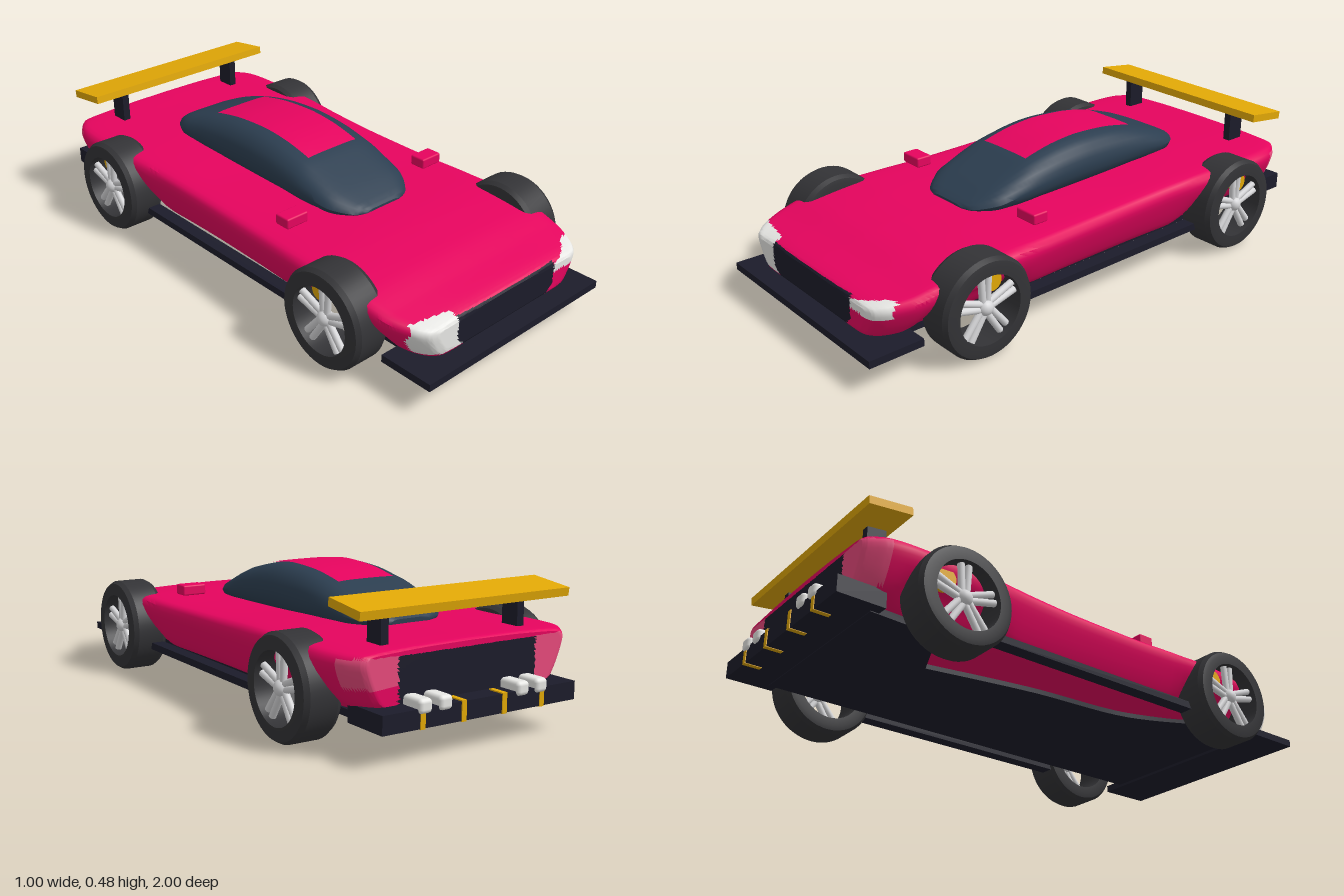
import * as THREE from 'three';
import { toCreasedNormals } from 'three/addons/utils/BufferGeometryUtils.js';
import { RoundedBoxGeometry } from 'three/addons/geometries/RoundedBoxGeometry.js';

const mat = (name, color) => {
  const m = new THREE.MeshStandardMaterial({ color });
  m.name = name;
  return m;
};

// Smoothly resample a table of stations [z, halfWidth, top, bottom]
function resample(table, steps) {
  const curve = (f) => new THREE.CatmullRomCurve3(table.map(f), false, 'catmullrom', 0.4);
  const dims = curve((s) => new THREE.Vector3(s[1], s[2], s[3]));
  const zs = curve((s) => new THREE.Vector3(s[0], 0, 0));
  const n = (table.length - 1) * steps;
  return Array.from({ length: n + 1 }, (_, i) => {
    const d = dims.getPoint(i / n);
    return [zs.getPoint(i / n).x, d.x, d.y, d.z];
  });
}

// Skin mirrored cross-sections, closing both ends; pick(x, y, z) gives the material slot
function loft(stations, section, half, slots, pick, capSteps) {
  const ring = ([z, w, t, b]) => {
    const pts = section(z, w, t, b).map(([x, y]) => new THREE.Vector3(x, y, z));
    const side = new THREE.CatmullRomCurve3(pts, false, 'catmullrom', 0.35).getSpacedPoints(half);
    const other = side.slice(1, -1).reverse().map((p) => new THREE.Vector3(-p.x, p.y, p.z));
    return [...side, ...other];
  };
  const cap = (r, s) => {
    const c = new THREE.Vector3(0, (r[0].y + r[half].y) / 2, r[0].z);
    return r.map((p) => c.clone().lerp(p, s));
  };
  const body = stations.map(ring);
  const front = [], back = [];
  for (let i = 0; i < capSteps; i++) {
    front.push(cap(body[0], i / capSteps));
    back.unshift(cap(body[body.length - 1], i / capSteps));
  }
  const rings = [...front, ...body, ...back];
  const n = half * 2;
  const flat = rings.flat();
  const lists = Array.from({ length: slots }, () => []);
  for (let k = 0; k < rings.length - 1; k++) {
    for (let j = 0; j < n; j++) {
      const a = k * n + j, b = k * n + ((j + 1) % n), c = a + n, d = b + n;
      for (const tri of [[a, c, b], [b, c, d]]) {
        const m = new THREE.Vector3();
        tri.forEach((i) => m.addScaledVector(flat[i], 1 / 3));
        lists[pick(m.x, m.y, m.z)].push(...tri);
      }
    }
  }
  const g = new THREE.BufferGeometry().setFromPoints(flat);
  g.setIndex(lists.flat());
  let start = 0;
  lists.forEach((l, i) => { g.addGroup(start, l.length, i); start += l.length; });
  return toCreasedNormals(g, 0.7);
}

export function createModel() {
  const car = new THREE.Group();
  car.name = 'racingCar';
  const paint = mat('bodyPaint', 0xe6045e);
  const dark = mat('darkTrim', 0x1c1c2a);
  const glass = mat('glass', 0x2c3e50);
  const rubber = mat('tyreRubber', 0x333336);
  const gold = mat('gold', 0xe2a806);
  const white = mat('lampWhite', 0xebebe8);
  const silver = mat('rimSilver', 0xd6d6d8);
  const tail = mat('tailLightPink', 0xe84a7c);

  const add = (name, geo, material, x = 0, y = 0, z = 0, parent = car) => {
    const m = new THREE.Mesh(geo, material);
    m.name = name;
    m.position.set(x, y, z);
    parent.add(m);
    return m;
  };
  const box = (name, w, h, d, material, x, y, z, parent) =>
    add(name, new THREE.BoxGeometry(w, h, d), material, x, y, z, parent);

  // Body shell: full rounded flanks that lift around the wheels
  const bodyStations = resample([
    [0.945, 0.33, 0.24, 0.14], [0.935, 0.36, 0.25, 0.128], [0.9, 0.393, 0.26, 0.122],
    [0.82, 0.43, 0.275, 0.12], [0.7, 0.445, 0.3, 0.12], [0.5, 0.45, 0.316, 0.12],
    [0.2, 0.437, 0.316, 0.12], [-0.1, 0.432, 0.322, 0.12], [-0.3, 0.436, 0.33, 0.12],
    [-0.5, 0.45, 0.335, 0.12], [-0.75, 0.455, 0.335, 0.13], [-0.85, 0.44, 0.335, 0.145],
    [-0.905, 0.405, 0.334, 0.153], [-0.92, 0.385, 0.328, 0.16],
  ], 8);
  const bodySection = (z, w, t, b) => {
    const h = t - b;
    const lift = Math.exp(-Math.pow((Math.abs(z) - 0.6) / 0.19, 4));
    return [[0, b], [0.4 * w, b], [0.74 * w, b], [0.86 * w, b + 0.06 * h + 0.06 * lift],
      [0.93 * w, b + 0.32 * h + 0.03 * lift], [0.98 * w, b + 0.6 * h], [w, t - 0.2 * h],
      [0.965 * w, t - 0.08 * h], [0.82 * w, t - 0.008], [0.45 * w, t - 0.002], [0, t]];
  };
  const bodyColour = (x, y, z) => {
    const ax = Math.abs(x);
    if (z > 0.87) {
      // Grille narrows toward its lower corners
      const edge = 0.238 - Math.max(0, 0.165 - y);
      if (ax < edge && y < 0.246) return 1;
      const low = x < 0 ? 0.14 : 0.205;
      const high = x < 0 ? 0.254 : 0.236 + 0.16 * (ax - 0.235);
      if (ax >= edge && ax < 0.395 && y > low && y < high) return 2;
    }
    if (z < -0.9 && ax < 0.27 && y < 0.31) return 1;
    if (z < -0.84 && ax >= 0.27 && y < 0.312 && y > (x < 0 ? 0.17 : 0.22)) return 3;
    return 0;
  };
  add('bodyShell', loft(bodyStations, bodySection, 56, 4, bodyColour, 36), [paint, dark, white, tail]);

  // Glass canopy
  const canopyStations = resample([
    [0.39, 0.08, 0.325, 0.31], [0.37, 0.13, 0.338, 0.308], [0.3, 0.185, 0.372, 0.308],
    [0.2, 0.2, 0.415, 0.31], [0.13, 0.203, 0.442, 0.31], [0.02, 0.204, 0.467, 0.312],
    [-0.1, 0.205, 0.478, 0.315], [-0.25, 0.203, 0.47, 0.315], [-0.385, 0.2, 0.445, 0.32],
    [-0.52, 0.188, 0.402, 0.32], [-0.6, 0.14, 0.368, 0.325], [-0.63, 0.08, 0.35, 0.33],
  ], 4);
  const canopySection = (z, w, t, b) => {
    const h = t - b;
    return [[0, b], [0.8 * w, b], [0.95 * w, b + 0.15 * h], [w, b + 0.4 * h], [0.94 * w, b + 0.7 * h],
      [0.76 * w, b + 0.93 * h], [0.5 * w, t - 0.01 * h], [0, t]];
  };
  add('canopy', loft(canopyStations, canopySection, 20, 1, () => 0, 3), glass);

  // Painted roof panel following the canopy crown
  const crown = canopyStations.filter((s) => s[0] < 0.131 && s[0] > -0.386).reverse();
  const roof = new THREE.PlaneGeometry(0.23, 1, 8, crown.length - 1);
  const rp = roof.attributes.position;
  for (let i = 0; i < rp.count; i++) {
    const x = rp.getX(i);
    const s = crown[Math.floor(i / 9)];
    rp.setXYZ(i, x, s[2] + 0.004 - 0.003 * Math.pow(x / 0.115, 4), s[0]);
  }
  roof.computeVertexNormals();
  add('roofPanel', roof, paint);

  // Floor plate, cut back along one side so the painted underbody shows
  const plate = new THREE.Shape();
  plate.moveTo(0.34, 0.85);
  plate.lineTo(-0.34, 0.85);
  plate.lineTo(-0.34, 0.58);
  plate.splineThru([[-0.22, 0.3], [-0.18, -0.1], [-0.11, -0.5]].map(([x, z]) => new THREE.Vector2(x, z)));
  plate.lineTo(-0.33, -0.6);
  plate.lineTo(-0.34, -0.85);
  plate.lineTo(0.34, -0.85);
  const floor = new THREE.ExtrudeGeometry(plate, { depth: 0.024, bevelEnabled: false, curveSegments: 16 });
  add('floor', floor.rotateX(Math.PI / 2), dark, 0, 0.126, 0);

  // Splitter and diffuser
  box('frontSplitter', 0.84, 0.026, 0.2, dark, 0, 0.105, 0.9);
  box('rearDiffuser', 0.76, 0.06, 0.17, dark, 0, 0.135, -0.905);

  // Rear wing
  const wing = box('rearWing', 0.82, 0.028, 0.16, gold, 0, 0.45, -0.84);
  wing.rotation.x = -0.13;

  // Wheel parts
  const tyre = toCreasedNormals(new THREE.LatheGeometry([
    [0.12, -0.07], [0.15, -0.07], [0.165, -0.067], [0.175, -0.05], [0.175, 0.05],
    [0.165, 0.067], [0.15, 0.07], [0.12, 0.07], [0.12, -0.07],
  ].map(([r, y]) => new THREE.Vector2(r, y)), 48), 0.5).rotateZ(Math.PI / 2);
  const hub = new THREE.SphereGeometry(0.028, 20, 12);
  const spokeGeo = new THREE.CylinderGeometry(0.012, 0.012, 0.11, 12);
  const caliper = new THREE.CylinderGeometry(0.034, 0.034, 0.04, 20).rotateZ(Math.PI / 2);

  for (const s of [-1, 1]) {
    const side = s > 0 ? 'left' : 'right';
    box(side + 'SideSkirt', 0.05, 0.026, 0.94, dark, s * 0.4, 0.114, 0);
    box(side + 'WingStrut', 0.028, 0.12, 0.07, dark, s * 0.27, 0.383, -0.815);
    add(side + 'Mirror', new RoundedBoxGeometry(0.092, 0.038, 0.062, 2, 0.006), paint, s * 0.328, 0.35, 0.283);
    for (const x of [0.08, 0.235]) box(side + 'DiffuserFin', 0.018, 0.066, 0.062, gold, s * x, 0.136, -0.962);
    for (const x of [0.152, 0.228]) {
      add(side + 'Exhaust', new RoundedBoxGeometry(0.05, 0.046, 0.09, 3, 0.014), white, s * x, 0.172, -0.955);
    }

    for (const z of [0.6, -0.6]) {
      const wheel = new THREE.Group();
      wheel.name = side + (z > 0 ? 'Front' : 'Rear') + 'Wheel';
      wheel.position.set(s * 0.43, 0.176, z);
      car.add(wheel);
      add('tyre', tyre, rubber, 0, 0, 0, wheel);
      add('hub', hub, silver, s * 0.04, 0, 0, wheel);
      add('brakeCaliper', caliper, gold, 0, 0.065, -0.05, wheel);
      // Five pairs of spokes
      for (let i = 0; i < 5; i++) {
        const arm = new THREE.Group();
        arm.name = 'spokePair';
        arm.rotation.x = (i * Math.PI * 2) / 5;
        wheel.add(arm);
        for (const e of [-1, 1]) {
          const spoke = add('spoke', spokeGeo, silver, s * 0.04, 0.067, e * 0.012, arm);
          spoke.rotation.x = e * 0.06;
        }
      }
    }
  }
  return car;
}
